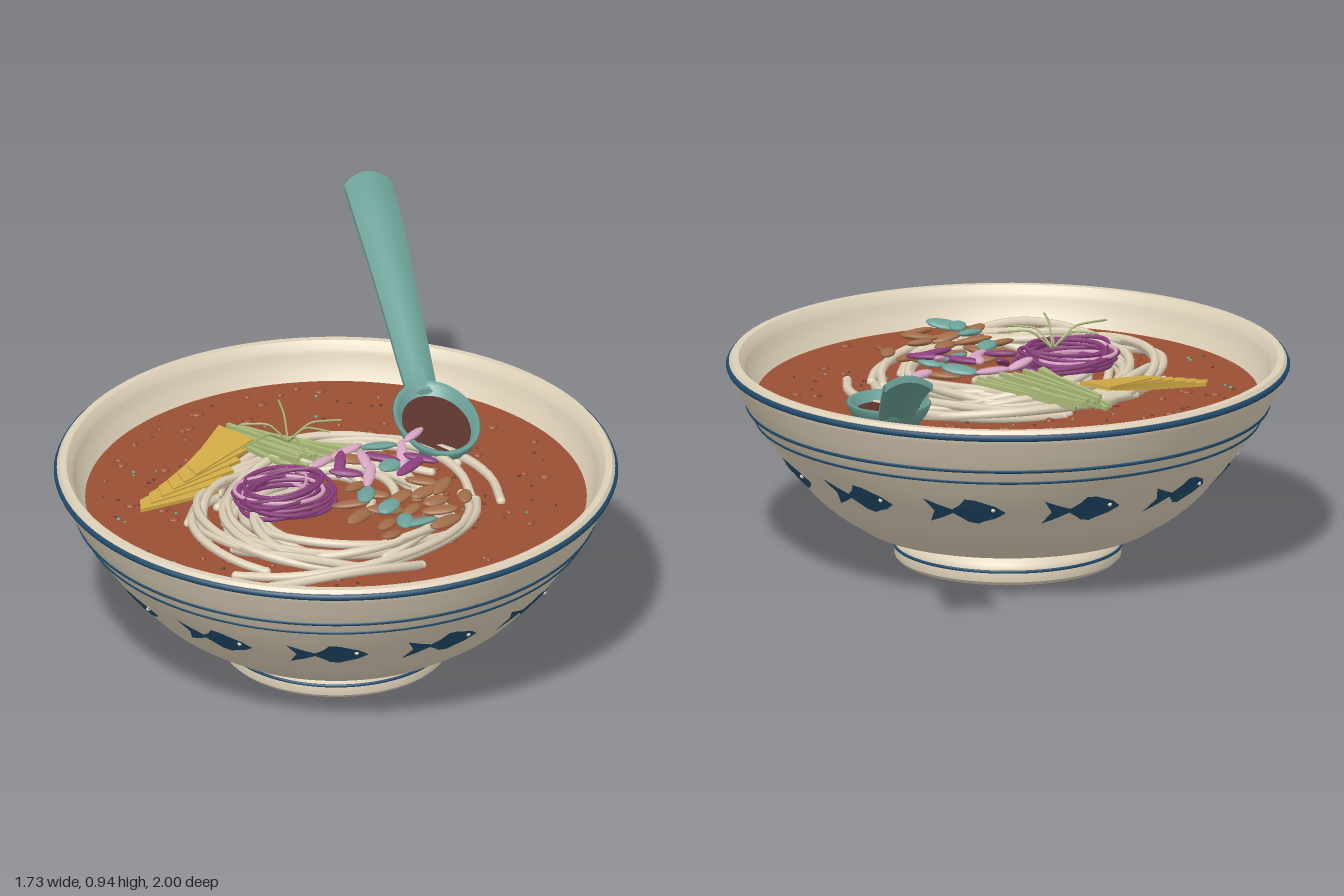
import * as THREE from 'three';
import { toCreasedNormals } from 'three/addons/utils/BufferGeometryUtils.js';

const mat = (name, color) => new THREE.MeshStandardMaterial({ name, color });
const V2 = (x, y) => new THREE.Vector2(x, y);
const V3 = (x, y, z) => new THREE.Vector3(x, y, z);
const CZ = 0.14; // bowl axis in z
const SOUP = 0.52; // soup level

export function createModel() {
  const M = {
    cream: mat('cream glaze', 0xddd0b8), blue: mat('blue glaze', 0x214c6c),
    soup: mat('red broth', 0x984f33), dark: mat('dark broth', 0x5a342b),
    teal: mat('teal', 0x6ca198), yellow: mat('yellow', 0xcfa945),
    green: mat('pale green', 0xa9b878), purple: mat('purple', 0x8b3f7c),
    pink: mat('pink', 0xd8a5c2), brown: mat('brown', 0xa06c48),
  };
  const model = new THREE.Group();
  model.name = 'noodleSoup';
  let seed = 7;
  const rnd = (a = 0, b = 1) => {
    seed = (seed * 16807) % 2147483647;
    return a + (b - a) * (seed / 2147483647);
  };
  const group = (name, parent = model) => {
    const g = new THREE.Group();
    g.name = name;
    parent.add(g);
    return g;
  };
  const add = (parent, name, geo, material, x = 0, y = 0, z = 0) => {
    const m = new THREE.Mesh(geo, material);
    m.name = name;
    m.position.set(x, y, z);
    parent.add(m);
    return m;
  };
  const tube = (pts, r, n = 24, sides = 6) =>
    new THREE.TubeGeometry(new THREE.CatmullRomCurve3(pts), n, r, sides);

  // Bowl: foot, curved wall, rounded rim and inside in one turned profile
  const bowl = group('bowl');
  bowl.position.z = CZ;
  const wall = new THREE.SplineCurve([V2(0.46, 0.12), V2(0.575, 0.2), V2(0.665, 0.3),
    V2(0.735, 0.39), V2(0.8, 0.49), V2(0.853, 0.6)]).getPoints(24);
  const wallR = (y) => {
    const i = Math.max(1, wall.findIndex((p) => p.y >= y));
    const a = wall[i - 1], b = wall[i];
    return a.x + ((b.x - a.x) * (y - a.y)) / (b.y - a.y);
  };
  const inside = new THREE.SplineCurve([V2(0.808, 0.61), V2(0.768, SOUP), V2(0.62, 0.32),
    V2(0.4, 0.2), V2(0, 0.17)]).getPoints(16);
  const profile = [V2(0, 0), V2(0.335, 0), V2(0.347, 0.012), V2(0.35, 0.045), V2(0.342, 0.065),
    V2(0.318, 0.085), V2(0.315, 0.098), V2(0.34, 0.107), ...wall, V2(0.855, 0.622), V2(0.847, 0.632),
    V2(0.826, 0.632), ...inside];
  add(bowl, 'bowlBody', toCreasedNormals(new THREE.LatheGeometry(profile, 96), 0.6), M.cream);
  for (const [y, r, t] of [[0.61, 0.853, 0.011], [0.49, 0.798, 0.007], [0.447, 0.772, 0.006], [0.045, 0.348, 0.005]]) {
    add(bowl, 'blueBand', new THREE.TorusGeometry(r, t, 8, 96).rotateX(Math.PI / 2), M.blue, 0, y, 0);
  }

  // Painted fish wrapped on the wall: [position along body, top, bottom]
  const fishOutline = [[0, 0.042, -0.047], [0.14, 0.022, -0.028], [0.26, 0.007, -0.008], [0.38, 0.026, -0.026],
    [0.46, 0.05, -0.04], [0.6, 0.047, -0.046], [0.72, 0.036, -0.034], [0.86, 0.024, -0.024], [1, 0, -0.002]];
  const fishGeo = new THREE.PlaneGeometry(1, 1, fishOutline.length - 1, 6);
  const fp = fishGeo.attributes.position;
  for (let i = 0; i < fp.count; i++) {
    const [u, top, bottom] = fishOutline[i % fishOutline.length];
    const v = fp.getY(i) + 0.5;
    const y = 0.33 + bottom + (top - bottom) * v;
    const notch = 0.026 * Math.abs(2 * v - 1) * Math.max(0, 1 - u / 0.25);
    const a = (-0.125 + 0.22 * u - notch) / 0.69;
    const r = wallR(y) + 0.005;
    fp.setXYZ(i, r * Math.sin(a), y, r * Math.cos(a));
  }
  fishGeo.computeVertexNormals();
  const eyeGeo = new THREE.SphereGeometry(0.007, 10, 8);
  for (let k = 0; k < 12; k++) {
    const fish = group('fish', bowl);
    fish.rotation.y = (k * Math.PI) / 6;
    add(fish, 'fishBody', fishGeo, M.blue);
    const a = 0.058 / 0.69, r = wallR(0.34) + 0.005;
    add(fish, 'fishEye', eyeGeo, M.cream, r * Math.sin(a), 0.34, r * Math.cos(a));
  }

  // Broth with oil drops and specks
  add(model, 'broth', new THREE.CircleGeometry(0.772, 96).rotateX(-Math.PI / 2), M.soup, 0, SOUP, CZ);
  const drops = group('oilDrops');
  const dropGeo = new THREE.SphereGeometry(1, 12, 8);
  for (let i = 0; i < 190; i++) {
    const a = rnd(0, Math.PI * 2), d = 0.73 * Math.sqrt(rnd(0.12, 1));
    const big = i < 90, s = big ? rnd(0.009, 0.021) : rnd(0.003, 0.006);
    const m = add(drops, big ? 'oilDrop' : 'speck', dropGeo, big ? M.soup : i % 3 ? M.dark : M.teal,
      d * Math.cos(a), SOUP + 0.001, CZ + d * Math.sin(a));
    m.scale.set(s, big ? 0.009 : 0.004, s * rnd(0.7, 1.3));
    m.rotation.y = a;
  }

  // Swirled noodles
  const noodles = group('noodles');
  for (let i = 0; i < 38; i++) {
    const r = 0.2 + 0.25 * Math.sqrt(rnd()), a0 = rnd(0, Math.PI * 2), sweep = rnd(1.2, 2.7);
    const cx = -0.06 + rnd(-0.08, 0.08), cz = 0.27 + rnd(-0.06, 0.06), squash = rnd(0.8, 1);
    const drift = rnd(-0.09, 0.06), lift = rnd(0.005, 0.06);
    const pts = [];
    for (let k = 0; k <= 7; k++) {
      const t = k / 7, a = a0 + sweep * t, q = r + drift * t;
      pts.push(V3(cx + q * Math.cos(a), SOUP + 0.004 + lift * Math.sin(Math.PI * t), cz + q * squash * Math.sin(a)));
    }
    add(noodles, 'noodle', tube(pts, 0.0145), M.cream);
    for (const p of [pts[0], pts[7]]) add(noodles, 'noodleEnd', dropGeo, M.cream, p.x, p.y, p.z).scale.setScalar(0.0145);
  }

  // Red onion rings
  const onions = group('onionRings');
  for (let i = 0; i < 15; i++) {
    const r = rnd(0.09, 0.17);
    const m = add(onions, 'onionRing', new THREE.TorusGeometry(r, 0.007, 6, 40).rotateX(Math.PI / 2),
      i % 4 === 3 ? M.pink : M.purple, -0.22 + rnd(-0.04, 0.04), 0.585 + i * 0.003, 0.17 + rnd(-0.03, 0.03));
    m.scale.z = rnd(0.55, 0.9);
    m.rotation.set(rnd(-0.1, 0.1), rnd(-0.7, 0.7), rnd(-0.1, 0.1));
  }

  // Fan of yellow slices
  const slice = new THREE.Shape([V2(-0.16, -0.015), V2(0.09, -0.08), V2(0.11, 0.05), V2(-0.13, 0.03)]);
  const sliceGeo = new THREE.ExtrudeGeometry(slice, { depth: 0.012, bevelEnabled: false }).rotateX(-Math.PI / 2);
  const slices = group('yellowSlices');
  for (let i = 0; i < 6; i++) {
    const m = add(slices, 'yellowSlice', sliceGeo, M.yellow, -0.43 + i * 0.038, 0.55 + i * 0.01, -0.07 - i * 0.021);
    m.rotation.set(0.06, 0.1 + i * 0.09, 0.08);
  }

  // Bundle of pale green sticks
  const sticks = group('greenSticks');
  for (let i = 0; i < 18; i++) {
    const t = i / 17;
    const from = V3(-0.16 + 0.1 * t, 0.56 + rnd(0, 0.04), -0.3 + 0.06 * t + rnd(-0.03, 0.03));
    const to = V3(-0.1 + 0.25 * t, 0.58 + rnd(0, 0.04), 0.03 + rnd(-0.04, 0.03));
    const mid = from.clone().add(to).multiplyScalar(0.5);
    const m = add(sticks, 'greenStick', new THREE.BoxGeometry(0.013, 0.013, from.distanceTo(to)), M.green, mid.x, mid.y, mid.z);
    m.lookAt(to);
  }

  // Sliced meat, herb leaves and onion petals: [x, z, yaw]
  const leafGeo = new THREE.SphereGeometry(1, 14, 8);
  const scatter = (name, list, mats, len, wide, y) => {
    const g = group(name + 's');
    list.forEach(([x, z, yaw], i) => {
      const m = add(g, name, leafGeo, mats[i % mats.length], x, y + rnd(0, 0.02), z);
      m.scale.set(len * rnd(0.8, 1.15), 0.011, wide);
      m.rotation.set(rnd(-0.3, 0.3), yaw, rnd(-0.15, 0.15));
    });
  };
  scatter('meatPiece', [[0.08, 0.1, -0.4], [0.15, 0.12, -0.3], [0.21, 0.14, -0.5], [-0.06, 0.33, -0.5],
    [0.02, 0.33, -0.9], [0.09, 0.37, 0.3], [0.17, 0.38, 0.2], [0.24, 0.37, 0.6], [-0.08, 0.42, 0.4],
    [0, 0.44, -0.3], [0.08, 0.46, 0.5], [0.16, 0.47, 0], [0.27, 0.46, 1], [-0.03, 0.5, 0.6], [0.05, 0.53, 0.1],
    [0.14, 0.53, -0.4], [-0.06, 0.58, 0.5], [0.12, 0.6, 0.2], [0.2, 0.32, -0.7], [0, 0.26, 0.5]],
  [M.brown], 0.055, 0.023, 0.59);
  scatter('herbLeaf', [[0, 0.56, 1.1], [0.03, 0.59, -0.4], [0.18, 0.09, -0.6], [0.15, 0.22, 0.3],
    [0.22, 0.22, -0.5], [0, 0.46, 0.4], [-0.01, 0.34, 0.9]], [M.teal], 0.055, 0.028, 0.61);
  scatter('onionPetal', [[-0.02, 0.09, 0.5], [0.02, 0.13, 1], [0.08, 0.06, 0.2], [0, 0.2, -0.6], [0.06, 0.24, 0.9],
    [0.14, 0.17, -0.9], [0.2, 0.2, 1.1], [0.24, 0.24, -0.8], [0.31, 0.08, 0.5], [0.19, 0.27, 0.4], [0.09, 0.16, 1.3]],
  [M.pink, M.purple], 0.065, 0.018, 0.615);

  // Thin curved sprigs on top
  const sprigs = group('sprigs');
  for (const [dx, dz] of [[-0.2, 0.06], [0.16, 0.05], [-0.05, 0.2], [0.06, -0.16], [-0.12, -0.08], [0.09, 0.1]]) {
    const at = (t, y) => V3(-0.1 + dx * t, y, 0.02 + dz * t);
    add(sprigs, 'sprig', tube([at(0, 0.68), at(0.2, 0.71), at(0.42, 0.736), at(0.7, 0.738), at(1, 0.735)], 0.0035, 14, 5), M.green);
  }

  // Spoon: oval bowl with broth and an arched, widening handle
  const spoon = group('spoon');
  spoon.position.set(0.465, 0.575, -0.045);
  spoon.rotation.y = -0.31;
  const spoonBowl = group('spoonBowl', spoon);
  spoonBowl.rotation.x = 0.1;
  spoonBowl.scale.set(1, 1, 1.65);
  const cup = [V2(0, -0.085), V2(0.05, -0.08), V2(0.09, -0.058), V2(0.118, -0.02), V2(0.13, 0.008), V2(0.125, 0.015),
    V2(0.113, 0.01), V2(0.1, -0.02), V2(0.07, -0.055), V2(0, -0.068)];
  add(spoonBowl, 'spoonCup', new THREE.LatheGeometry(cup, 48), M.teal);
  add(spoonBowl, 'spoonBroth', new THREE.CircleGeometry(0.103, 40).rotateX(-Math.PI / 2), M.dark, 0, -0.016, 0);
  const handleLine = new THREE.SplineCurve([V2(0.17, 0.015), V2(0.26, 0.052), V2(0.47, 0.155), V2(0.68, 0.25),
    V2(0.87, 0.325), V2(0.985, 0.355)]);
  const handleGeo = new THREE.BoxGeometry(1, 1, 1, 10, 1, 24);
  const hp = handleGeo.attributes.position;
  for (let i = 0; i < hp.count; i++) {
    const x = hp.getX(i), t = 0.5 - hp.getZ(i);
    const c = handleLine.getPoint(t);
    const width = 0.085 + 0.06 * Math.min(1, t * 1.3);
    const arch = 0.03 * 4 * x * x;
    hp.setXYZ(i, x * width, c.y + hp.getY(i) * 0.02 - arch, -c.x + (t > 0.99 ? 0.015 * 4 * x * x : 0));
  }
  add(spoon, 'spoonHandle', toCreasedNormals(handleGeo, 0.7), M.teal);

  return model;
}
